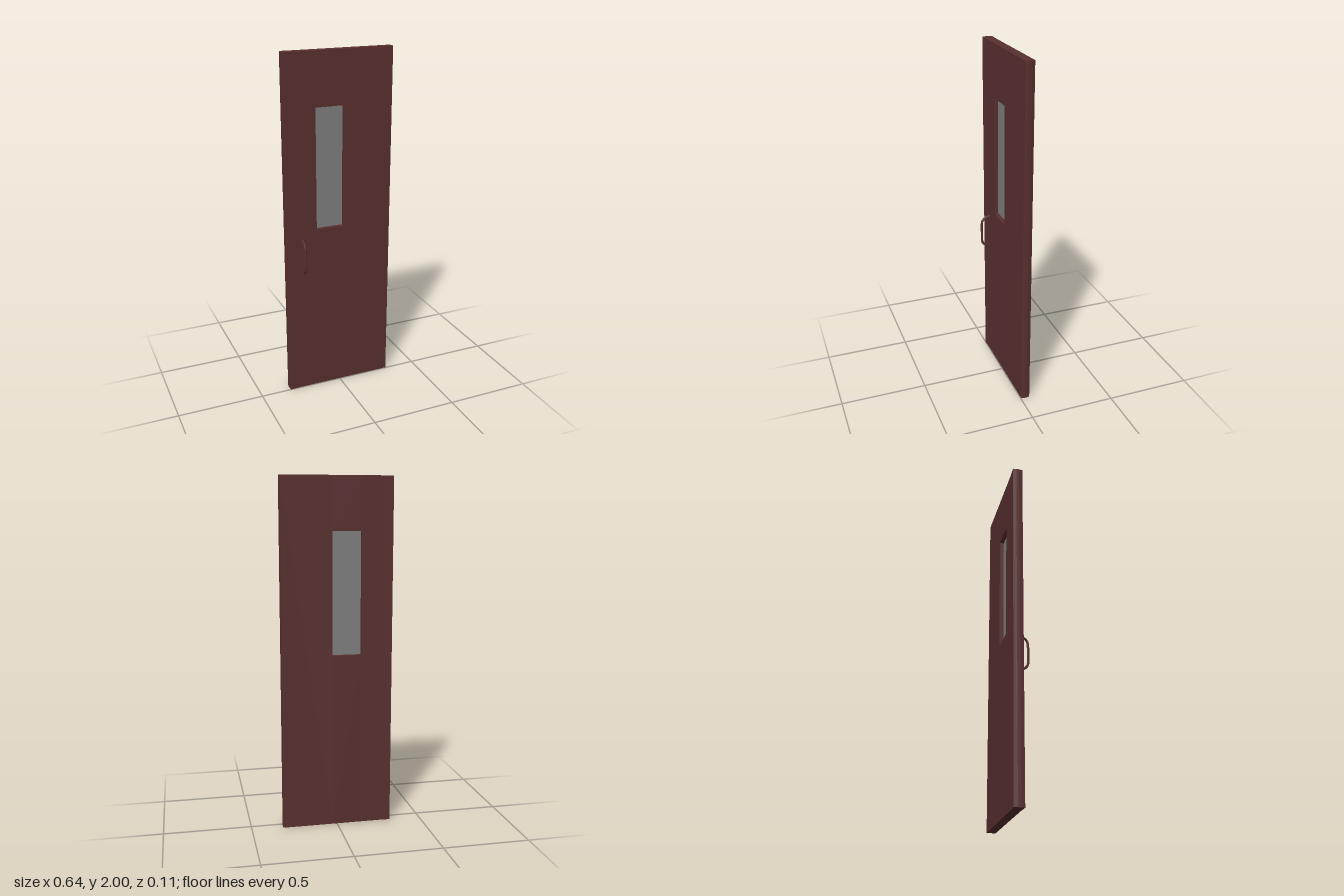
import * as THREE from 'three';

const TOP = 2;
const HOLE = { left: -0.14, right: 0.026, bottom: 1.005, top: 1.7 };
const BACK = -0.054, FRONT = -0.003;

export function createModel() {
  const door = new THREE.Group();
  door.name = 'door';
  const paint = new THREE.MeshStandardMaterial({ color: 0x5a3030 });
  const glass = new THREE.MeshStandardMaterial({ color: 0x808080, side: THREE.DoubleSide });

  const add = (name, geometry, material = paint) => {
    const mesh = new THREE.Mesh(geometry, material);
    mesh.name = name;
    door.add(mesh);
    return mesh;
  };

  // Upright board: a plan outline of [x, z] points raised to full height
  const stile = (name, outline) => {
    const shape = new THREE.Shape(outline.map(([x, z]) => new THREE.Vector2(x, -z)));
    const geometry = new THREE.ExtrudeGeometry(shape, { depth: TOP, bevelEnabled: false });
    geometry.rotateX(-Math.PI / 2);
    add(name, geometry);
  };

  // Handle-side stile, slightly thicker towards its bowed outer edge
  stile('handleStile', [
    [HOLE.left, FRONT], [-0.26, FRONT], [-0.318, 0], [-0.321, -0.02],
    [-0.321, -0.037], [-0.318, -0.057], [-0.26, BACK], [HOLE.left, BACK],
  ]);

  // Hinge-side stile with a bowed outer edge
  stile('hingeStile', [
    [HOLE.right, FRONT], [HOLE.right, BACK], [0.315, BACK],
    [0.319, -0.038], [0.319, -0.019], [0.315, FRONT],
  ]);

  // Panels above and below the window
  const width = HOLE.right - HOLE.left, middleX = (HOLE.left + HOLE.right) / 2;
  const middleZ = (BACK + FRONT) / 2;
  for (const [name, low, high] of [['lowerPanel', 0, HOLE.bottom], ['upperPanel', HOLE.top, TOP]]) {
    add(name, new THREE.BoxGeometry(width, high - low, FRONT - BACK))
      .position.set(middleX, (low + high) / 2, middleZ);
  }

  // Window pane in the middle of the opening
  add('windowPane', new THREE.BoxGeometry(width, HOLE.top - HOLE.bottom, 0.004), glass)
    .position.set(middleX, (HOLE.top + HOLE.bottom) / 2, middleZ);

  // Pull handle: a bent round bar
  const at = (y, z) => new THREE.Vector3(-0.228, y, z);
  const path = new THREE.CurvePath();
  path.add(new THREE.CubicBezierCurve3(at(0.953, -0.008), at(0.95, 0.025), at(0.935, 0.046), at(0.905, 0.047)));
  path.add(new THREE.LineCurve3(at(0.905, 0.047), at(0.805, 0.047)));
  path.add(new THREE.CubicBezierCurve3(at(0.805, 0.047), at(0.775, 0.046), at(0.76, 0.025), at(0.757, -0.008)));
  add('pullHandle', new THREE.TubeGeometry(path, 40, 0.007, 8));

  return door;
}
